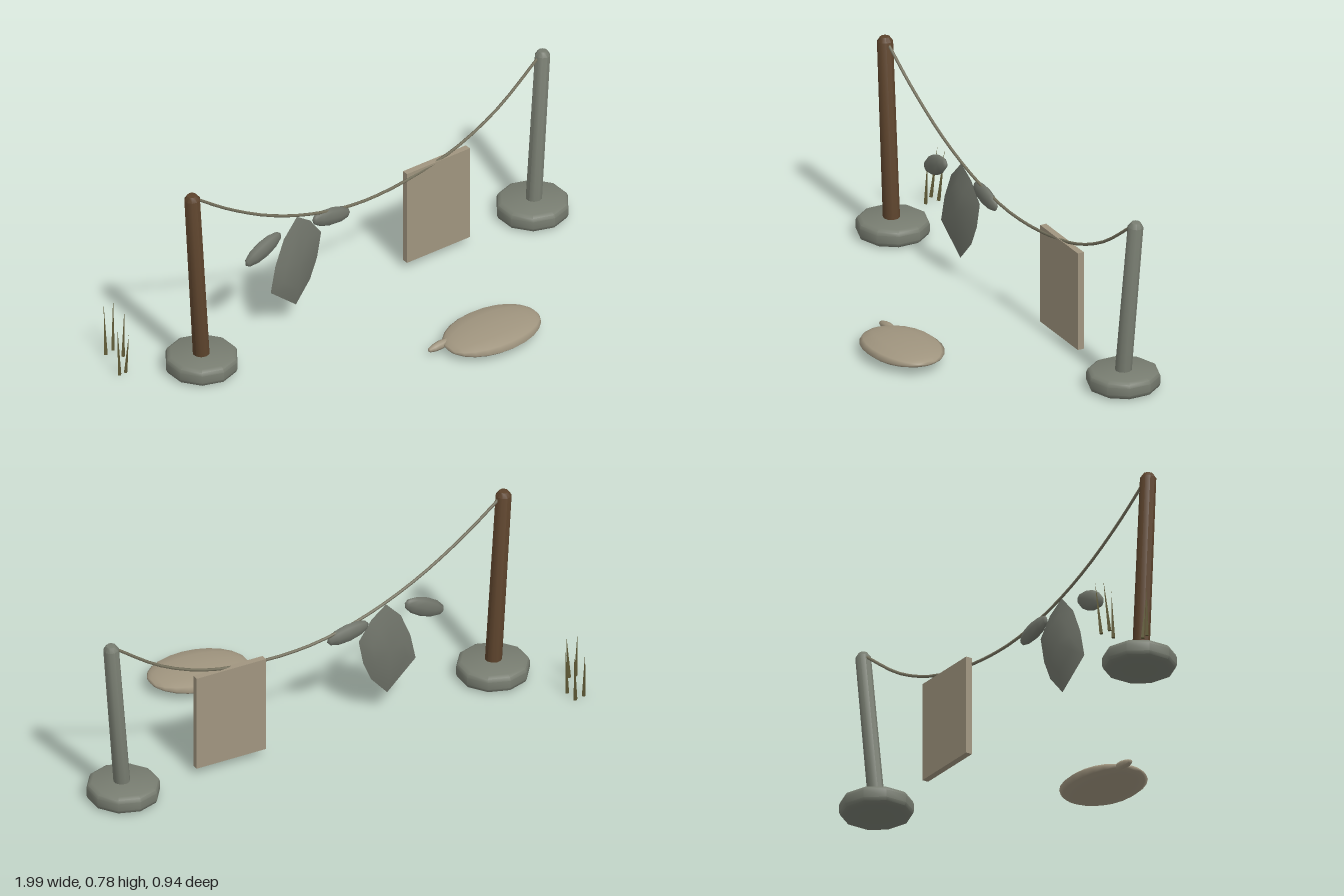
import * as THREE from 'three';
import { toCreasedNormals } from 'three/addons/utils/BufferGeometryUtils.js';

const V = (x, y, z) => new THREE.Vector3(x, y, z);
const UP = V(0, 1, 0);

export function createModel() {
  const group = new THREE.Group();
  const mat = (name, color, side = THREE.FrontSide) => {
    const m = new THREE.MeshStandardMaterial({ color, side });
    m.name = name;
    return m;
  };
  const wood = mat('brown wood', 0x5c432c);
  const stone = mat('grey stone', 0x777c70);
  const hide = mat('grey hide', 0x70746a);
  const tan = mat('tan cloth', 0xa0957f);
  const cord = mat('rope', 0x77735f);
  const grass = mat('dry grass', 0x625c38);

  const add = (name, geometry, material) => {
    const mesh = new THREE.Mesh(geometry, material);
    mesh.name = name;
    group.add(mesh);
    return mesh;
  };
  const lathe = (points, sides) =>
    new THREE.LatheGeometry(points.map(([r, y]) => new THREE.Vector2(r, y)), sides);

  // Stone foot with rounded rims
  function foot(name, x, z) {
    const g = lathe([[0, 0], [0.118, 0], [0.132, 0.008], [0.137, 0.02], [0.137, 0.05],
      [0.132, 0.062], [0.118, 0.07], [0, 0.07]], 10);
    add(name, toCreasedNormals(g, 0.7), stone).position.set(x, 0, z);
  }

  // Leaning post with a bevelled top
  function post(name, from, to, r0, r1, material) {
    const dir = to.clone().sub(from), h = dir.length();
    const g = lathe([[0, 0], [r0, 0], [r1, h - 0.02], [r1 * 0.6, h - 0.003], [0, h]], 10);
    const m = add(name, toCreasedNormals(g, 0.7), material);
    m.position.copy(from);
    m.quaternion.setFromUnitVectors(UP, dir.normalize());
  }

  foot('rightFoot', -0.727, -0.16);
  foot('leftFoot', 0.86, -0.255);
  post('rightPost', V(-0.73, 0.05, -0.157), V(-0.776, 0.778, -0.154), 0.032, 0.03, wood);
  post('leftPost', V(0.863, 0.05, -0.252), V(0.922, 0.68, -0.274), 0.031, 0.029, stone);

  // Sagging rope
  const sag = [[-0.775, 0.765], [-0.6, 0.64], [-0.4, 0.525], [-0.2, 0.445], [0, 0.398],
    [0.15, 0.388], [0.3, 0.397], [0.5, 0.432], [0.7, 0.515], [0.92, 0.67]];
  const path = new THREE.CatmullRomCurve3(
    sag.map(([x, y]) => V(x, y, -0.156 - 0.118 * (x + 0.775) / 1.695)));
  add('rope', new THREE.TubeGeometry(path, 28, 0.006, 5), cord);

  // Hanging board
  add('hangingSheet', new THREE.BoxGeometry(0.288, 0.387, 0.025), tan)
    .position.set(0.412, 0.223, -0.244);

  // Hanging hide: a pillow built from shrinking copies of its outline
  const outline = [[-0.27, 0.08], [-0.2, 0.16], [-0.165, 0.24], [-0.145, 0.34],
    [-0.2, 0.415], [-0.265, 0.46], [-0.33, 0.39], [-0.372, 0.29], [-0.395, 0.185]];
  const cx = -0.27, cy = 0.27, n = outline.length;
  const pos = [], idx = [];
  for (const [s, t] of [[0, 1], [0.6, 0.8], [1, 0], [0.6, -0.8], [0, -1]])
    for (const [x, y] of outline)
      pos.push(cx + (x - cx) * s, cy + (y - cy) * s, -0.193 - (x - cx) * s * 0.1 + t * 0.022);
  for (let r = 0; r < 4; r++)
    for (let i = 0; i < n; i++) {
      const a = r * n + i, b = r * n + (i + 1) % n;
      if (r > 0) idx.push(a, a + n, b);
      if (r < 3) idx.push(b, a + n, b + n);
    }
  const pillow = new THREE.BufferGeometry();
  pillow.setAttribute('position', new THREE.Float32BufferAttribute(pos, 3));
  pillow.setIndex(idx);
  add('hangingHide', toCreasedNormals(pillow, 0.6), hide);

  // Flattened lobes
  function lobe(name, p, size, tilt, material, w = 10, h = 6) {
    const g = new THREE.SphereGeometry(1, w, h).rotateZ(-Math.PI / 2).scale(...size);
    const m = add(name, g, material);
    m.position.set(...p);
    m.rotation.z = tilt;
  }
  lobe('rightFlap', [-0.432, 0.392, -0.178], [0.09, 0.039, 0.02], 0.45, hide, 8);
  lobe('leftFlap', [-0.1, 0.392, -0.205], [0.088, 0.038, 0.02], -0.18, hide, 8);

  // Flat oval piece lying on the ground with its small tab
  lobe('groundOval', [0.235, 0.037, 0.325], [0.2, 0.032, 0.142], 0.035, tan, 12, 12);
  lobe('groundTab', [0.035, 0.028, 0.277], [0.056, 0.016, 0.018], 0.1, tan, 8);

  // Grass blades: base x, z, tip x, height, tip z
  const blades = [[-0.993, -0.305, -0.998, 0.19, -0.31], [-0.965, -0.305, -0.962, 0.17, -0.29],
    [-0.952, -0.442, -0.945, 0.2, -0.465], [-0.912, -0.452, -0.898, 0.21, -0.47],
    [-0.908, -0.396, -0.9, 0.19, -0.4]];
  blades.forEach(([x, z, tx, h, tz], i) => {
    const dir = V(tx - x, h, tz - z), len = dir.length();
    const g = new THREE.ConeGeometry(0.008, len, 4).translate(0, len / 2, 0);
    const m = add('grassBlade' + (i + 1), toCreasedNormals(g, 0.5), grass);
    m.position.set(x, 0, z);
    m.quaternion.setFromUnitVectors(UP, dir.normalize());
  });

  return group;
}
